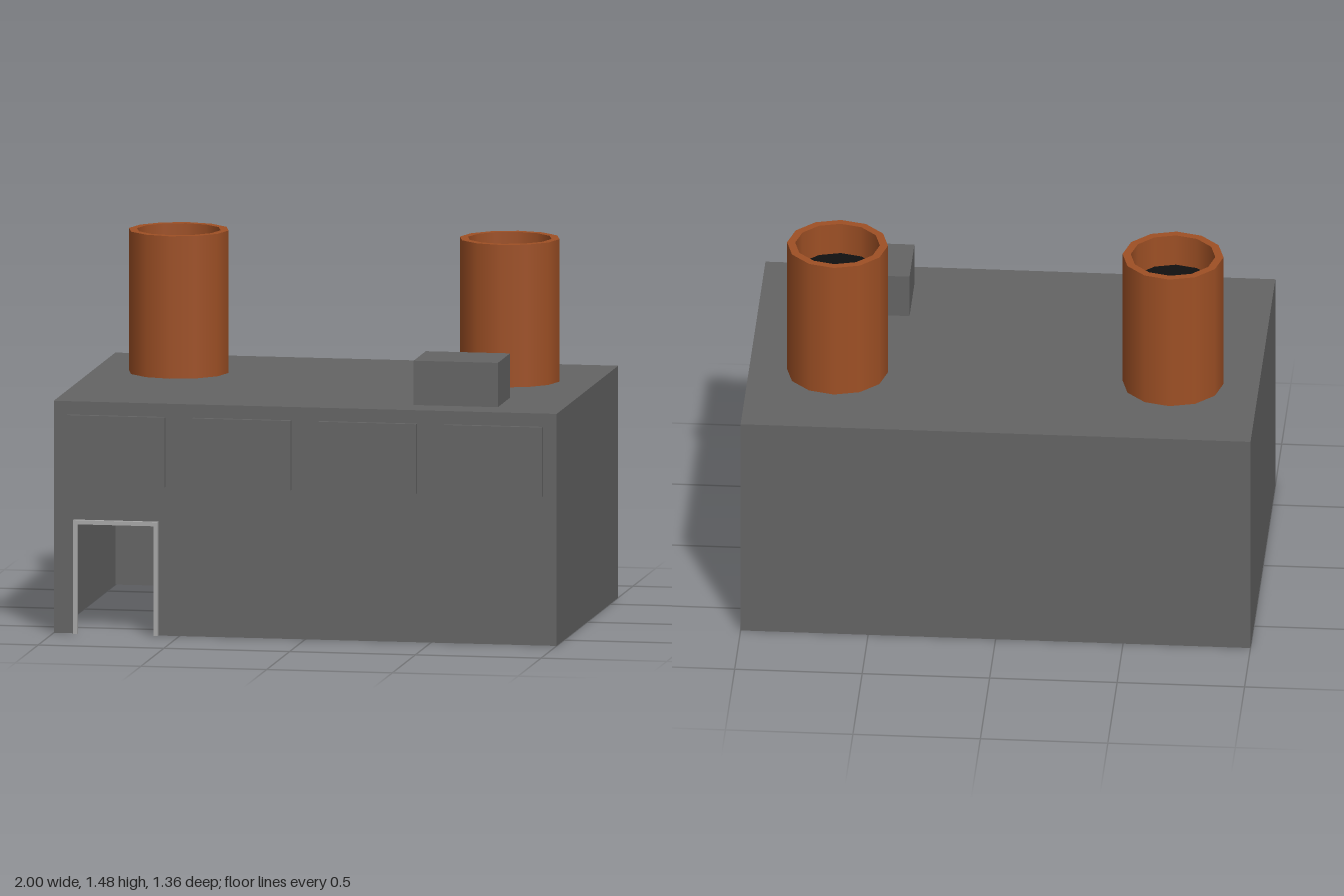
import * as THREE from 'three';

const mat = (name, color) => new THREE.MeshStandardMaterial({ name, color, side: THREE.DoubleSide });

export function createModel() {
  const model = new THREE.Group();
  model.name = 'factory';
  const concrete = mat('concrete grey', 0x646464);
  const clay = mat('chimney brown', 0x9e5025);
  const soot = mat('soot black', 0x101010);
  const trim = mat('trim grey', 0xa8a8a8);

  const add = (name, geometry, material, x = 0, y = 0, z = 0, parent = model) => {
    const mesh = new THREE.Mesh(geometry, material);
    mesh.name = name;
    mesh.position.set(x, y, z);
    parent.add(mesh);
    return mesh;
  };

  // Box without some of its faces (0 +x, 1 -x, 2 +y, 3 -y, 4 +z, 5 -z)
  const openBox = (w, h, d, omit) => {
    const g = new THREE.BoxGeometry(w, h, d);
    const index = Array.from(g.index.array);
    g.setIndex(index.filter((_, i) => !omit.includes(Math.floor(i / 6))));
    g.clearGroups();
    return g;
  };

  // Hollow hall: roof, back and side walls, open underneath
  const H = 0.917, BACK = -0.68, FRONT = 0.66, DEPTH = FRONT - BACK;
  add('hall', openBox(2, H, DEPTH, [3, 4]), concrete, 0, H / 2, (FRONT + BACK) / 2);

  // Front wall with a doorway notch and window openings
  const doorL = -0.912, doorR = -0.592, doorTop = 0.447;
  const wall = new THREE.Shape([
    [-1, 0], [doorL, 0], [doorL, doorTop], [doorR, doorTop],
    [doorR, 0], [1, 0], [1, H], [-1, H],
  ].map(([x, y]) => new THREE.Vector2(x, y)));
  const winW = 0.39, winH = 0.275, winY = 0.727, winD = 0.02;
  const windowXs = [-0.75, -0.25, 0.25, 0.75];
  for (const x of windowXs) {
    const a = x - winW / 2, b = x + winW / 2, c = winY - winH / 2, d = winY + winH / 2;
    wall.holes.push(new THREE.Path([
      [a, c], [a, d], [b, d], [b, c],
    ].map(([px, py]) => new THREE.Vector2(px, py))));
  }
  add('frontWall', new THREE.ShapeGeometry(wall), concrete, 0, 0, FRONT);

  // Window panels pushed out of the wall, hollow behind
  for (const x of windowXs) {
    add('windowPanel', openBox(winW, winH, winD, [5]), concrete, x, winY, FRONT + winD / 2);
  }

  // Door frame
  const frame = new THREE.Group();
  frame.name = 'doorFrame';
  model.add(frame);
  const t = 0.016;
  for (const x of [doorL, doorR]) {
    add('doorPost', new THREE.BoxGeometry(t, doorTop, 0.02), trim, x, doorTop / 2, FRONT + 0.01, frame);
  }
  add('doorLintel', new THREE.BoxGeometry(doorR - doorL + t, t, 0.02), trim,
    (doorL + doorR) / 2, doorTop - t / 2 + 0.003, FRONT + 0.01, frame);

  // Roof unit
  add('roofUnit', new THREE.BoxGeometry(0.335, 0.175, 0.265), concrete, 0.573, H + 0.0875, 0.387);

  // Twelve-sided chimneys with a flat rim and a dark flue
  const TOP = 1.48, R = 0.198, INNER = 0.166, FLUE = 0.13;
  for (const x of [-0.662, 0.654]) {
    const chimney = new THREE.Group();
    chimney.name = 'chimney';
    chimney.position.set(x, 0, -0.212);
    model.add(chimney);
    add('chimneyWall', new THREE.CylinderGeometry(R, R, TOP - H, 12, 1, true), clay, 0, (TOP + H) / 2, 0, chimney);
    add('chimneyLining', new THREE.CylinderGeometry(INNER, INNER, FLUE, 12, 1, true), clay, 0, TOP - FLUE / 2, 0, chimney);
    add('chimneyRim', new THREE.RingGeometry(INNER, R, 12), clay, 0, TOP, 0, chimney).rotation.x = -Math.PI / 2;
    add('flue', new THREE.CircleGeometry(INNER, 12), soot, 0, TOP - FLUE, 0, chimney).rotation.x = -Math.PI / 2;
  }

  return model;
}
